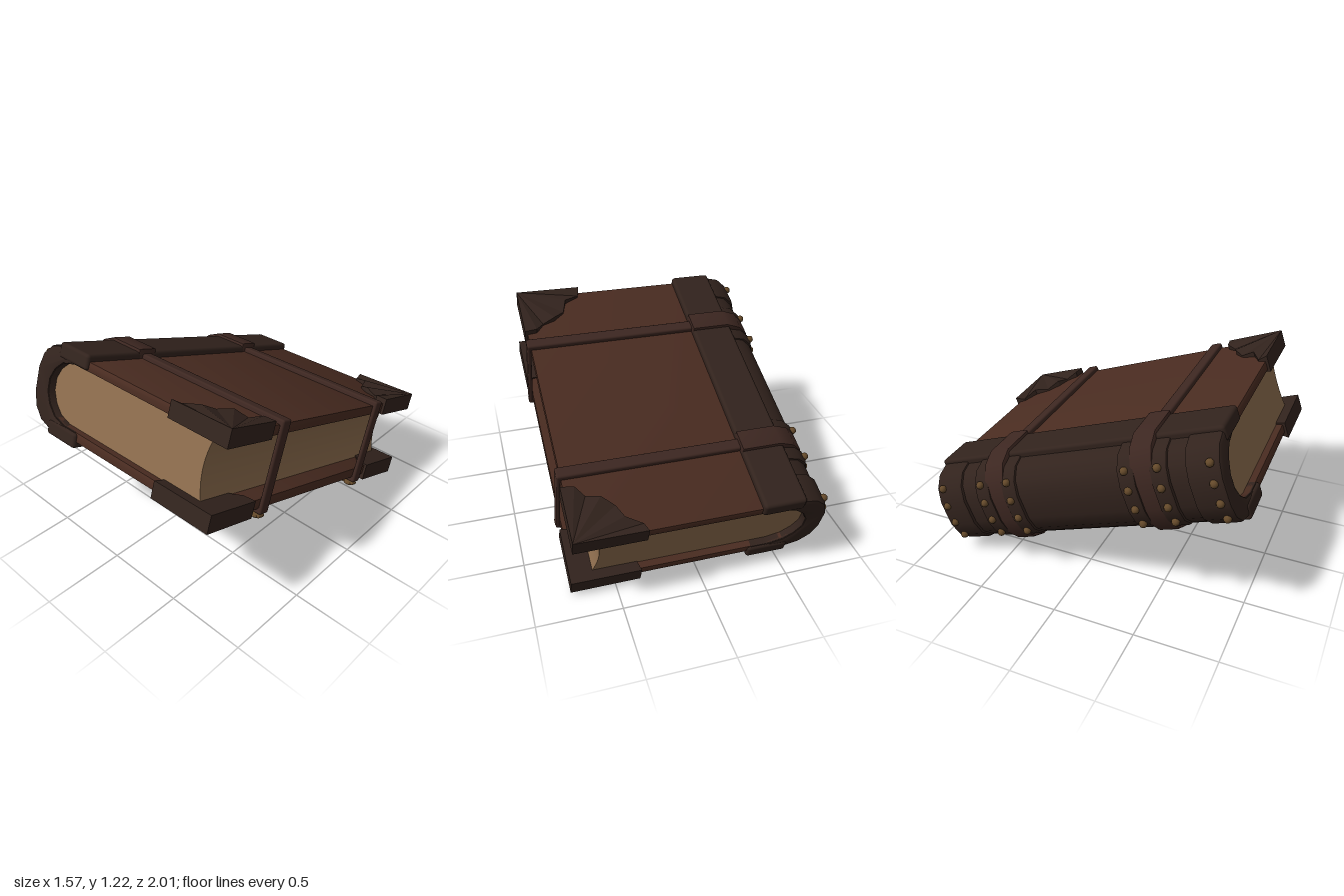
import * as THREE from 'three';
import { toCreasedNormals } from 'three/addons/utils/BufferGeometryUtils.js';
import { RoundedBoxGeometry } from 'three/addons/geometries/RoundedBoxGeometry.js';

const mat = (color) => new THREE.MeshStandardMaterial({ color, side: THREE.DoubleSide });

export function createModel() {
  const root = new THREE.Group();
  root.name = 'clasped book';
  const book = new THREE.Group();
  book.name = 'book';
  root.add(book);

  const cloth = mat(0x4a2c21), leather = mat(0x32231d), strapMat = mat(0x3d2721);
  const paper = mat(0x8c6c4d), brass = mat(0x64492a), iron = mat(0x2e2119);

  const add = (name, geo, material, x = 0, y = 0, z = 0, parent = book) => {
    const m = new THREE.Mesh(geo, material);
    m.name = name;
    m.position.set(x, y, z);
    parent.add(m);
    return m;
  };
  const box = (name, x0, x1, y0, y1, z0, z1, material, r = 0.012) =>
    add(name, new RoundedBoxGeometry(x1 - x0, y1 - y0, z1 - z0, 2, r), material,
      (x0 + x1) / 2, (y0 + y1) / 2, (z0 + z1) / 2);

  // Extrude an x-y profile along z, centred
  const extrude = (shape, width, bevel = 0) => {
    const g = new THREE.ExtrudeGeometry(shape, {
      depth: width - 2 * bevel, bevelEnabled: bevel > 0, bevelSize: bevel,
      bevelThickness: bevel, bevelOffset: -bevel, bevelSegments: 2, curveSegments: 10,
    });
    g.translate(0, 0, bevel - width / 2);
    return toCreasedNormals(g, 0.7);
  };

  // U-shaped section that wraps the spine, open towards +x
  const inner = [[-0.45, 0.19], [-0.54, 0.165], [-0.6, 0.11], [-0.635, 0.04]];
  const mirrorY = (pts) => [...pts, ...pts.map(([x, y]) => [x, -y]).reverse()];
  const uShape = (xEnd, dx, dy) => {
    const outer = mirrorY([[xEnd, 0.25 + dy], [-0.56, 0.25 + dy],
      [-0.65 - dx * 0.6, 0.225 + dy * 0.7], [-0.71 - dx * 0.8, 0.165 + dy * 0.4], [-0.735 - dx, 0.08]]);
    const inside = mirrorY([[xEnd, 0.19], ...inner]).reverse();
    return new THREE.Shape([...outer, ...inside].map((p) => new THREE.Vector2(...p)));
  };

  // Covers, spine and page block
  add('covers', extrude(uShape(0.75, 0, 0), 1.89, 0.008), cloth);
  add('spineLeather', extrude(uShape(-0.34, 0.004, 0.006), 1.895, 0.008), leather);
  const page = new THREE.Shape();
  page.moveTo(0.64, 0.2);
  [...inner, ...inner.map(([x, y]) => [x, -y]).reverse()].forEach(([x, y]) => page.lineTo(x - 0.01, y * 1.05));
  page.lineTo(0.64, -0.2);
  page.quadraticCurveTo(0.56, 0, 0.64, 0.2);
  add('pages', extrude(page, 1.8), paper);

  // Raised spine bands with domed studs
  const stud = new THREE.SphereGeometry(0.024, 10, 8);
  for (const s of [-1, 1]) {
    add('spineEndBand', extrude(uShape(-0.42, 0.025, 0.02), 0.2, 0.02), leather, 0, 0, s * 0.855);
    for (const z of [0.4, 0.6])
      add('spineRib', extrude(uShape(-0.42, 0.024, 0.02), 0.11, 0.02), leather, 0, 0, s * z);
    for (const z of [0.4, 0.6, 0.9])
      for (const [x, y] of [[-0.735, 0.17], [-0.762, 0.06], [-0.762, -0.06], [-0.735, -0.17]])
        add('spineStud', stud, brass, x, y, s * z);
  }

  // Long leather plates along the hinge, top and bottom
  for (const s of [-1, 1])
    box('hingePlate', -0.58, -0.32, s > 0 ? 0.195 : -0.29, s > 0 ? 0.29 : -0.195, -0.962, 0.962, leather, 0.02);

  // Corner guards: a fan of ridges spreading from the outer corner
  const rim = [[0.35, 0.962], [0.365, 0.9], [0.46, 0.85], [0.49, 0.76], [0.56, 0.7], [0.64, 0.67], [0.69, 0.61], [0.768, 0.6]];
  const cornerGuard = (sy, sz) => {
    const low = 0.18, pos = [], tri = (...p) => {
      if (sy * sz < 0) p.reverse();
      p.forEach(([x, y, z]) => pos.push(x, y * sy, z * sz));
    };
    const quad = (a, b, c, d) => { tri(a, b, c); tri(a, c, d); };
    const apex = [0.768, 0.29, 0.962], base = [0.768, low, 0.962];
    const top = rim.map(([x, z], i) => [x, i === 0 || i === 7 ? 0.285 : i % 2 ? 0.262 : 0.285, z]);
    const bot = rim.map(([x, z]) => [x, low, z]);
    for (let i = 0; i < rim.length - 1; i++) {
      tri(apex, top[i + 1], top[i]);
      tri(base, bot[i], bot[i + 1]);
      quad(top[i], top[i + 1], bot[i + 1], bot[i]);
    }
    quad(apex, top[0], bot[0], base);
    quad(top[7], apex, base, bot[7]);
    const g = new THREE.BufferGeometry();
    g.setAttribute('position', new THREE.Float32BufferAttribute(pos, 3));
    g.computeVertexNormals();
    return g;
  };
  for (const sy of [-1, 1]) for (const sz of [-1, 1]) add('cornerGuard', cornerGuard(sy, sz), leather);

  // Two closing straps, with buckles on the underside
  const buckleShape = new THREE.Shape();
  buckleShape.absellipse(0, 0, 0.085, 0.06, 0, Math.PI * 2);
  const buckleHole = new THREE.Path();
  buckleHole.absellipse(0.015, 0, 0.05, 0.034, 0, Math.PI * 2, true);
  buckleShape.holes.push(buckleHole);
  const buckleGeo = extrude(buckleShape, 0.035, 0.008).rotateX(Math.PI / 2);
  for (const z of [-0.5, 0.5]) {
    const w = 0.037;
    add('spineStrap', extrude(uShape(-0.32, 0.012, 0.06), 0.14, 0.012), strapMat, 0, 0, z);
    box('topStrap', -0.34, 0.775, 0.24, 0.28, z - w, z + w, strapMat);
    box('bottomStrap', -0.34, 0.775, -0.28, -0.24, z - w, z + w, strapMat);
    box('foreEdgeStrap', 0.75, 0.775, -0.28, 0.28, z - w, z + w, strapMat);
    const clasp = new THREE.Group();
    clasp.name = 'buckle';
    clasp.position.set(0, -0.29, z + 0.015);
    book.add(clasp);
    add('buckleFrame', buckleGeo, brass, 0.42, -0.01, 0, clasp).rotation.z = 0.08;
    add('buckleProng', new THREE.CapsuleGeometry(0.011, 0.16, 3, 8).rotateZ(Math.PI / 2), brass, 0.47, -0.025, 0, clasp);
    add('claspPlate', new RoundedBoxGeometry(0.24, 0.02, 0.05, 2, 0.008), brass, 0.655, 0, 0, clasp);
    for (let i = 0; i < 3; i++) {
      const boss = add('claspBoss', new THREE.SphereGeometry(0.036, 12, 8), brass, 0.575 + i * 0.08, -0.004, 0, clasp);
      boss.scale.y = 0.5;
    }
  }

  // Round emblem on the underside: sloped ring, bosses and five crossing bars
  const emblem = new THREE.Group();
  emblem.name = 'emblem';
  emblem.position.set(0.09, -0.25, 0.03);
  emblem.rotation.x = Math.PI;
  book.add(emblem);
  const ringProfile = [[0.45, 0], [0.45, 0.04], [0.43, 0.06], [0.37, 0.062], [0.345, 0.045], [0.29, 0.004]];
  add('ring', toCreasedNormals(new THREE.LatheGeometry(ringProfile.map((p) => new THREE.Vector2(...p)), 40), 0.6), brass, 0, 0, 0, emblem);
  const R = 0.37;
  const tip = (i) => {
    const a = (i * 2 * Math.PI) / 5;
    return new THREE.Vector3(Math.sin(a) * R, 0.04, -Math.cos(a) * R);
  };
  for (let i = 0; i < 5; i++) {
    const a = tip(i), b = tip(i + 2), mid = a.clone().add(b).multiplyScalar(0.5);
    const bar = add('starBar', new THREE.BoxGeometry(a.distanceTo(b), 0.026, 0.036), iron, mid.x, mid.y, mid.z, emblem);
    bar.rotation.y = Math.atan2(a.z - b.z, b.x - a.x);
    const boss = add('ringBoss', new THREE.SphereGeometry(0.055, 14, 10), brass, a.x * 1.07, 0.055, a.z * 1.07, emblem);
    boss.scale.y = 0.55;
  }

  // The whole book lies tilted, front end raised
  book.rotation.set(-0.348, 0.005, 0.018);
  book.position.set(0, 0.613, 0);
  return root;
}
